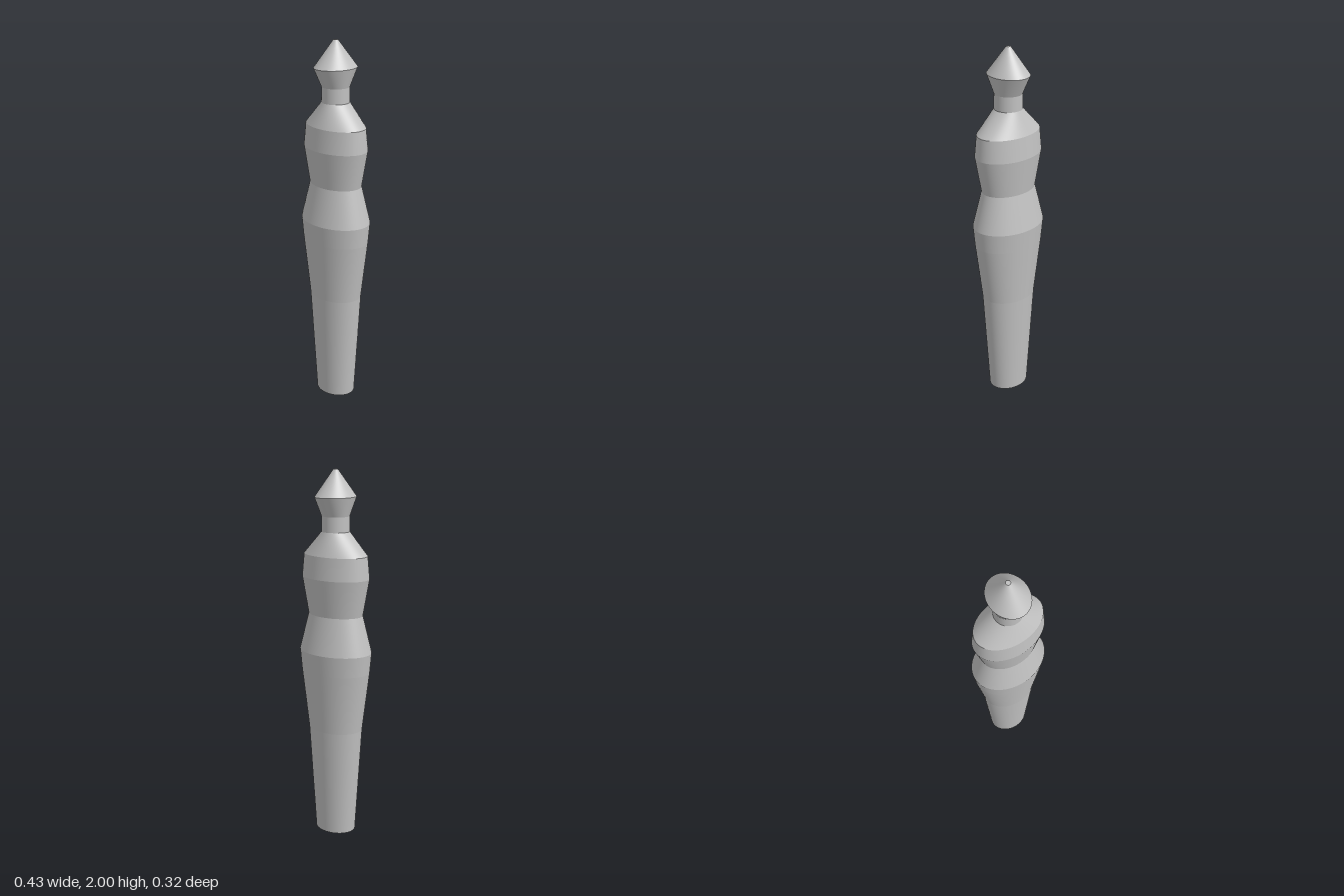
import * as THREE from 'three';

// Elliptical cross-sections from bottom to top: [y, half width x, half depth z]
const RINGS = [
  [0, 0.117, 0.096], [0.6, 0.158, 0.124], [0.93, 0.203, 0.151], [1.04, 0.213, 0.16],
  [1.24, 0.161, 0.116], [1.44, 0.2, 0.14], [1.56, 0.19, 0.127], [1.68, 0.075, 0.074],
  [1.76, 0.074, 0.073], [1.86, 0.102, 0.122], [2, 0.012, 0.012],
];
const NAMES = ['lowerLegs', 'thighs', 'hips', 'waist', 'ribcage', 'chest', 'shoulders', 'neck', 'jaw', 'headCone'];
const SIDES = 96;

// Open tapered band between two ellipses, smooth around and sharp at its rims
function band([y0, x0, z0], [y1, x1, z1]) {
  const geo = new THREE.CylinderGeometry(1, 1, 1, SIDES, 1, true);
  const pos = geo.attributes.position, nor = geo.attributes.normal, n = new THREE.Vector3();
  for (let i = 0; i < pos.count; i++) {
    const s = pos.getX(i), c = pos.getZ(i), t = pos.getY(i) + 0.5;
    const rx = THREE.MathUtils.lerp(x0, x1, t), rz = THREE.MathUtils.lerp(z0, z1, t);
    pos.setXYZ(i, s * rx, THREE.MathUtils.lerp(y0, y1, t), c * rz);
    n.set(s * rz, -((x1 - x0) * s * s * rz + (z1 - z0) * c * c * rx) / (y1 - y0), c * rx).normalize();
    nor.setXYZ(i, n.x, n.y, n.z);
  }
  return geo;
}

// Flat elliptical lid; dir is +1 facing up, -1 facing down
function cap([y, rx, rz], dir) {
  return new THREE.CircleGeometry(1, SIDES).scale(rx, rz, 1).rotateX(-dir * Math.PI / 2).translate(0, y, 0);
}

export function createModel() {
  const group = new THREE.Group();
  group.name = 'figure';
  const grey = new THREE.MeshStandardMaterial({ color: 0xc0c0c0 });
  grey.name = 'lightGrey';
  const add = (name, geo) => {
    const mesh = new THREE.Mesh(geo, grey);
    mesh.name = name;
    group.add(mesh);
  };

  NAMES.forEach((name, i) => add(name, band(RINGS[i], RINGS[i + 1])));
  add('base', cap(RINGS[0], -1));
  add('headTip', cap(RINGS[RINGS.length - 1], 1));
  return group;
}
